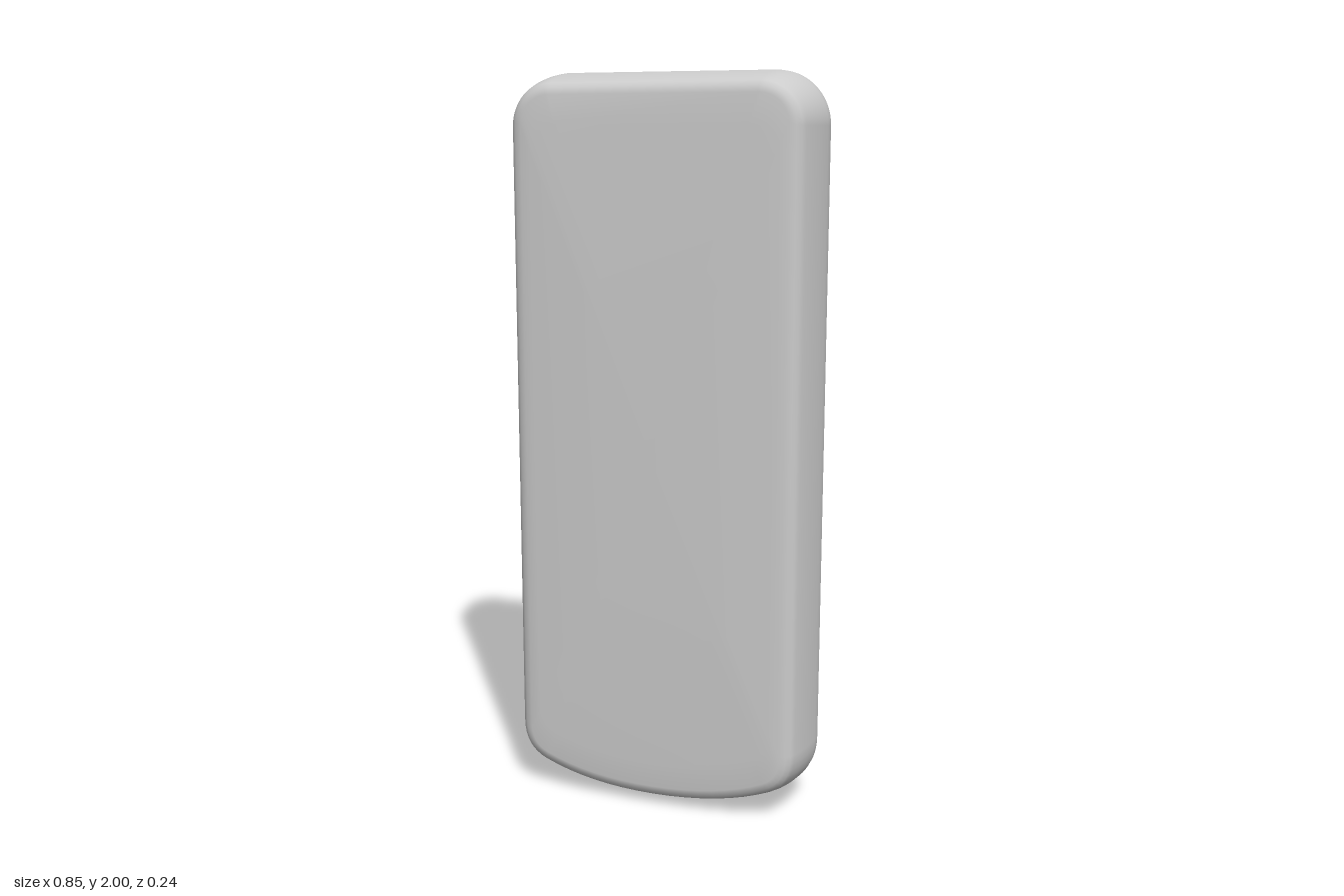
import * as THREE from 'three';

// Rounded slab outline: straight sides, rounded top corners, bowed bottom
function outline() {
  const s = new THREE.Shape();
  s.moveTo(0, 0);
  s.quadraticCurveTo(0.2, 0, 0.34, 0.06);
  s.quadraticCurveTo(0.425, 0.097, 0.425, 0.2);
  s.lineTo(0.425, 1.86);
  s.absarc(0.285, 1.86, 0.14, 0, Math.PI / 2, false);
  s.lineTo(-0.285, 2);
  s.absarc(-0.285, 1.86, 0.14, Math.PI / 2, Math.PI, false);
  s.lineTo(-0.425, 0.2);
  s.quadraticCurveTo(-0.425, 0.097, -0.34, 0.06);
  s.quadraticCurveTo(-0.2, 0, 0, 0);
  const pts = s.getPoints(8);
  return pts.filter((p, i) => p.distanceTo(pts[(i + 1) % pts.length]) > 1e-5);
}

// Outward direction at each outline point
function outwardNormals(pts) {
  const n = pts.length;
  return pts.map((p, i) => {
    const a = p.clone().sub(pts[(i + n - 1) % n]).normalize();
    const b = pts[(i + 1) % n].clone().sub(p).normalize();
    const t = a.add(b).normalize();
    return new THREE.Vector2(t.y, -t.x);
  });
}

// Cross-sections from back to front: [z, inset from outline, scale about centre]
const SECTIONS = [
  [-0.119, 0.04, 0.3], [-0.117, 0.04, 0.6], [-0.111, 0.04, 0.92], [-0.108, 0.036, 1],
  [-0.103, 0.018, 1], [-0.092, 0.006, 1], [-0.075, 0, 1], [-0.045, 0, 1],
  [0, 0.006, 1], [0.04, 0.014, 1], [0.075, 0.024, 1], [0.09, 0.031, 1],
  [0.1, 0.043, 1], [0.106, 0.06, 1],
  [0.109, 0.06, 0.92], [0.116, 0.06, 0.6], [0.118, 0.06, 0.3],
];

function slabGeometry() {
  const pts = outline(), normals = outwardNormals(pts), n = pts.length;
  const pos = [], idx = [];
  for (const [z, inset, k] of SECTIONS) {
    pts.forEach((p, i) => {
      const x = p.x - normals[i].x * inset, y = p.y - normals[i].y * inset;
      pos.push(x * k, 1 + (y - 1) * k, z);
    });
  }
  // Walls between neighbouring sections
  for (let r = 0; r < SECTIONS.length - 1; r++) {
    for (let i = 0; i < n; i++) {
      const j = (i + 1) % n, a = r * n + i, b = r * n + j;
      idx.push(a, b, b + n, a, b + n, a + n);
    }
  }
  // Centre points close the shallow domes
  const back = pos.length / 3, front = back + 1, last = (SECTIONS.length - 1) * n;
  pos.push(0, 1, -0.12, 0, 1, 0.119);
  for (let i = 0; i < n; i++) {
    const j = (i + 1) % n;
    idx.push(back, j, i, front, last + i, last + j);
  }
  const g = new THREE.BufferGeometry();
  g.setAttribute('position', new THREE.Float32BufferAttribute(pos, 3));
  g.setIndex(idx);
  g.computeVertexNormals();
  return g;
}

export function createModel() {
  const group = new THREE.Group();
  group.name = 'roundedSlab';
  const body = new THREE.Mesh(slabGeometry(), new THREE.MeshStandardMaterial({ color: 0xcccccc }));
  body.name = 'body';
  group.add(body);
  return group;
}
